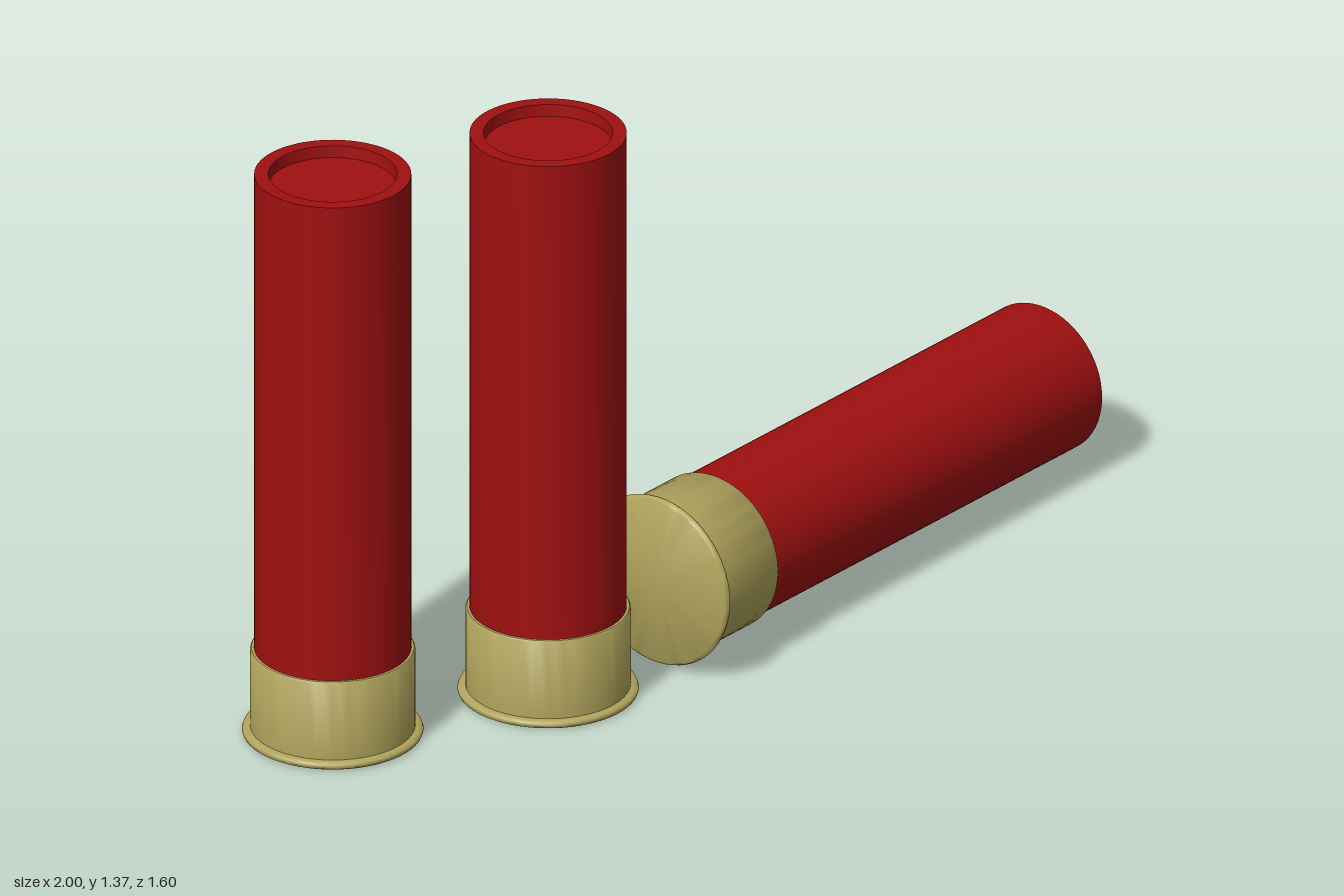
import * as THREE from 'three';
import { toCreasedNormals } from 'three/addons/utils/BufferGeometryUtils.js';

const LENGTH = 1.37;

// Turn an (r, y) profile, listed from the bottom centre outward and up
function turned(name, profile, material) {
  const points = profile.map(([r, y]) => new THREE.Vector2(r, y));
  const geometry = toCreasedNormals(new THREE.LatheGeometry(points, 64), 0.9);
  const mesh = new THREE.Mesh(geometry, material);
  mesh.name = name;
  return mesh;
}

export function createModel() {
  const red = new THREE.MeshStandardMaterial({ color: 0xa01010 });
  const brass = new THREE.MeshStandardMaterial({ color: 0xb0a45c });

  // Metal base: rounded rim, straight wall, small step onto the tube
  const base = turned('brassBase', [
    [0, 0], [0.194, 0], [0.199, 0.003], [0.201, 0.008], [0.199, 0.014], [0.194, 0.017],
    [0.183, 0.018], [0.183, 0.204], [0.18, 0.208], [0.173, 0.208],
  ], brass);

  // Plastic tube with a shallow recess in its closed end
  const tube = turned('redTube', [
    [0.174, 0.19], [0.174, LENGTH], [0.143, LENGTH], [0.141, LENGTH - 0.028], [0, LENGTH - 0.028],
  ], red);

  const shell = new THREE.Group();
  shell.add(base, tube);

  const model = new THREE.Group();
  model.name = 'shells';
  const place = (name, foot, axis) => {
    const copy = shell.clone();
    copy.name = name;
    copy.position.set(...foot);
    copy.quaternion.setFromUnitVectors(new THREE.Vector3(0, 1, 0), new THREE.Vector3(...axis).normalize());
    model.add(copy);
  };

  // Two standing shells, and one lying on its rim with the far end slightly lower
  place('standingShellOuter', [-0.8, 0, 0.597], [0, 1, 0]);
  place('standingShellInner', [-0.308, 0, 0.425], [0, 1, 0]);
  place('lyingShell', [-0.06, 0.206, 0.314], [0.93, -0.016, -0.997]);
  return model;
}
